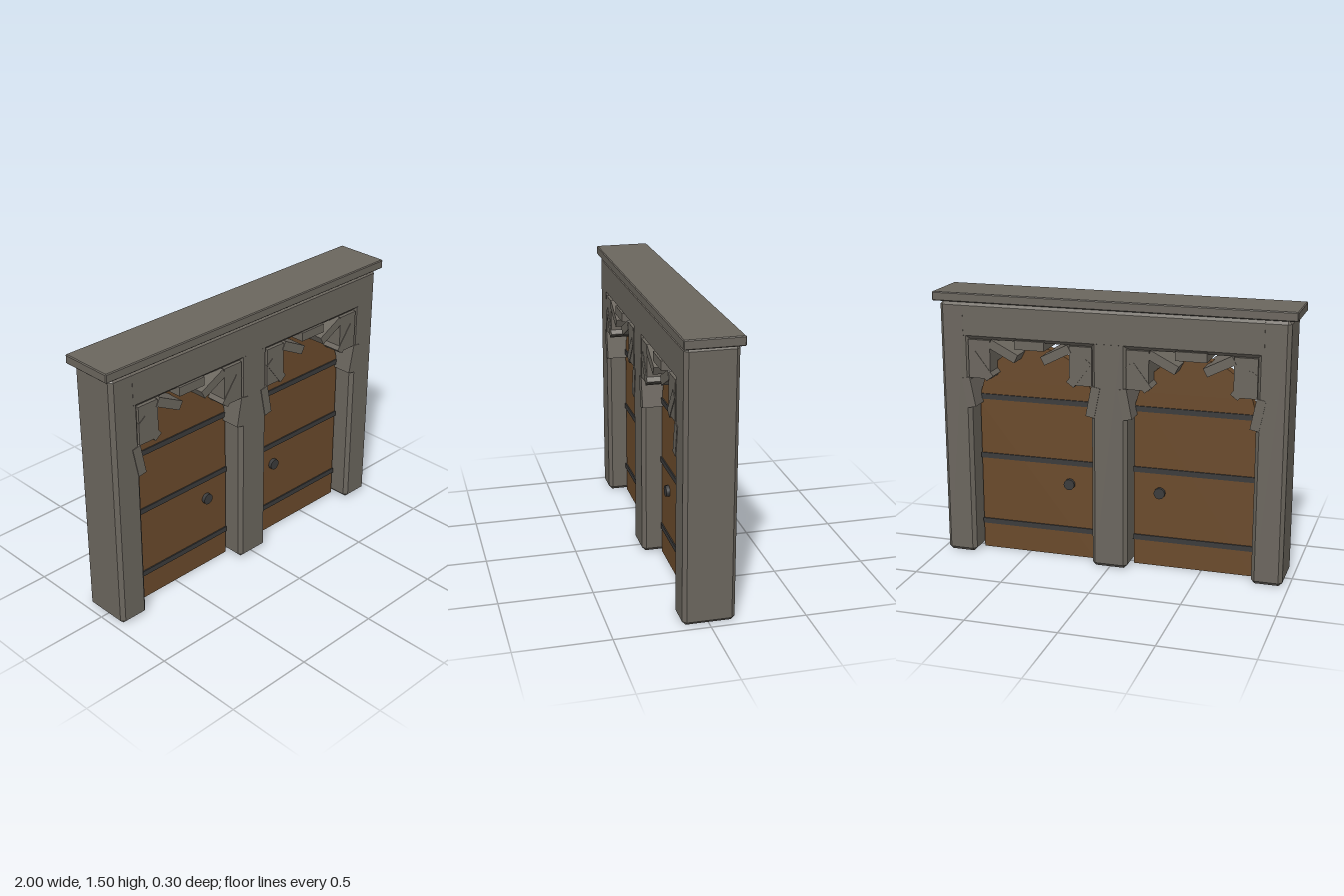
import * as THREE from 'three';
import { ConvexGeometry } from 'three/addons/geometries/ConvexGeometry.js';

const material = (name, color) => {
  const m = new THREE.MeshStandardMaterial({ color });
  m.name = name;
  return m;
};

// Box with every edge chamfered by c
function chamferBox(w, h, d, c) {
  const half = [w / 2, h / 2, d / 2];
  const points = [];
  for (const sx of [-1, 1]) for (const sy of [-1, 1]) for (const sz of [-1, 1]) {
    for (let axis = 0; axis < 3; axis++) {
      const p = [sx, sy, sz].map((s, i) => s * (half[i] - (i === axis ? 0 : c)));
      points.push(new THREE.Vector3(...p));
    }
  }
  return new ConvexGeometry(points);
}

export function createModel() {
  const stone = material('stone', 0x6b665e);
  const wood = material('wood', 0x6a4a2b);
  const iron = material('iron', 0x3b3b3b);
  const model = new THREE.Group();
  model.name = 'doubleDoorway';

  const add = (parent, name, geometry, mat, x, y, z = 0, tilt = 0) => {
    const mesh = new THREE.Mesh(geometry, mat);
    mesh.name = name;
    mesh.position.set(x, y, z);
    mesh.rotation.z = tilt;
    parent.add(mesh);
    return mesh;
  };

  // Frame: outer posts, middle post, lintel and cap
  for (const s of [-1, 1]) {
    add(model, s > 0 ? 'leftPost' : 'rightPost', chamferBox(0.17, 1.45, 0.274, 0.02), stone, s * 0.88, 0.725);
  }
  add(model, 'middlePost', chamferBox(0.2, 1.4, 0.274, 0.02), stone, 0, 0.7);
  add(model, 'lintel', chamferBox(1.7, 0.205, 0.275, 0.02), stone, 0, 1.3475);
  add(model, 'cap', chamferBox(2, 0.05, 0.304, 0.005), stone, 0, 1.475);

  // Door leaf with a round top
  const R = 0.335;
  const outline = new THREE.Shape();
  outline.moveTo(-R, 0);
  outline.lineTo(R, 0);
  outline.lineTo(R, 0.865);
  outline.absarc(0, 0.865, R, 0, Math.PI, false);
  outline.lineTo(-R, 0);
  const leaf = new THREE.ExtrudeGeometry(outline, { depth: 0.06, bevelEnabled: false, curveSegments: 8 });
  leaf.translate(0, 0, -0.03);

  const band = new THREE.BoxGeometry(0.674, 0.03, 0.074);
  const knob = new THREE.CylinderGeometry(0.031, 0.031, 0.1, 12).rotateX(Math.PI / 2);
  const archStone = new THREE.BoxGeometry(0.17, 0.05, 0.282);
  const cornerBlock = new THREE.BoxGeometry(0.125, 0.215, 0.276);

  // Arch stones of one half: offset, height, tilt in degrees
  const halfArch = [[0.152, 1.19, 27], [0.282, 1.1, 53], [0.359, 0.945, 79]];

  for (const side of [-1, 1]) {
    const bay = new THREE.Group();
    bay.name = side > 0 ? 'leftDoorway' : 'rightDoorway';
    bay.position.x = side * 0.448;
    model.add(bay);

    add(bay, 'door', leaf, wood, 0, 0);
    for (const y of [0.16, 0.555, 0.9]) add(bay, 'ironBand', band, iron, 0, y);
    add(bay, 'knob', knob, iron, -side * 0.188, 0.43);

    add(bay, 'keystone', archStone, stone, 0, 1.23);
    for (const s of [-1, 1]) {
      add(bay, 'cornerBlock', cornerBlock, stone, s * 0.29, 1.1375);
      for (const [x, y, deg] of halfArch) {
        add(bay, 'archStone', archStone, stone, s * x, y, 0, THREE.MathUtils.degToRad(s * deg));
      }
    }
  }
  return model;
}
